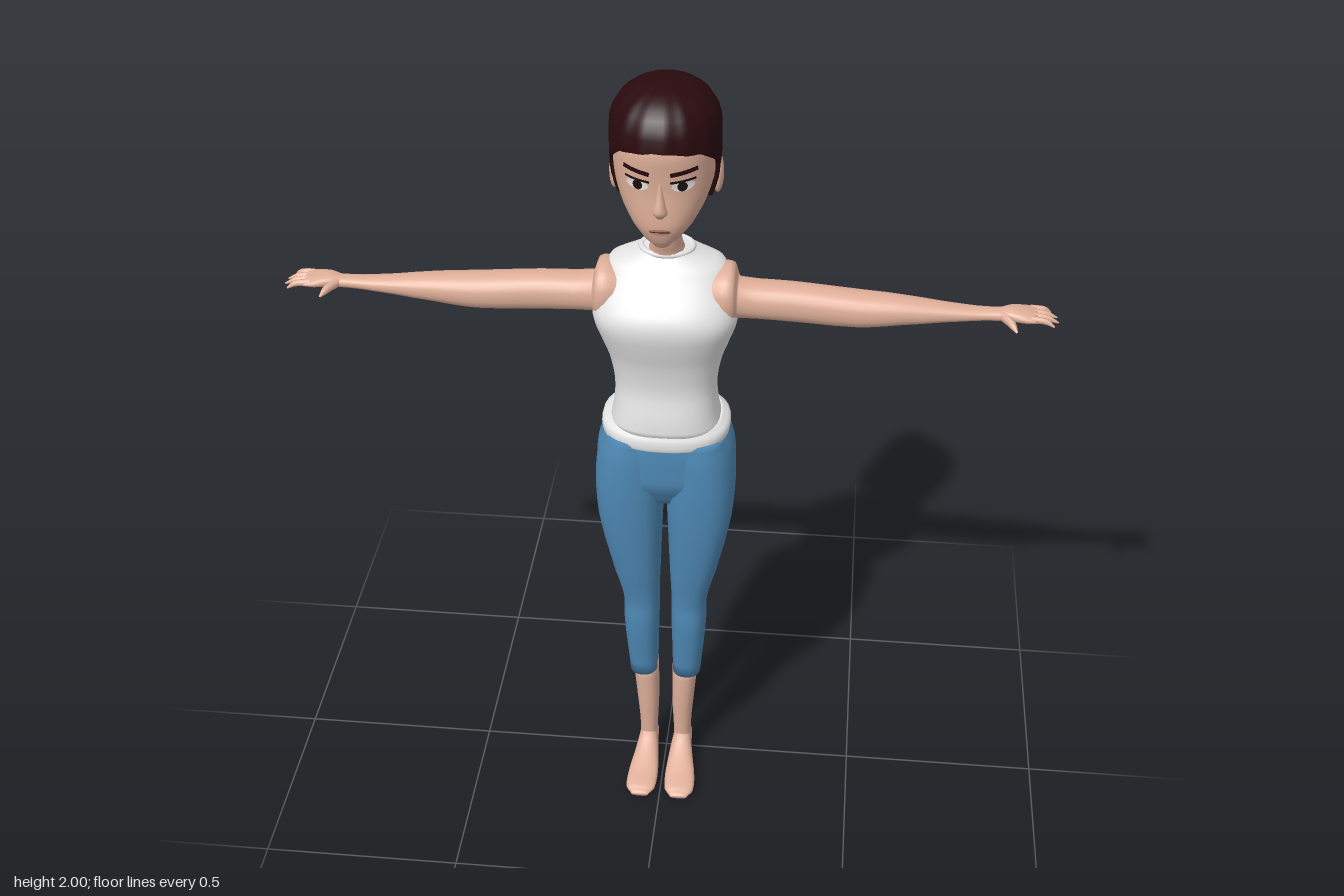
import * as THREE from 'three';

const mat = (name, color, side = THREE.FrontSide) => {
  const m = new THREE.MeshStandardMaterial({ color, side });
  m.name = name;
  return m;
};

// Sections [s, p0, p1, q0, q1]: superellipse rings at s, smoothed along the axis.
const AXES = { y: (s, p, q) => [p, s, q], x: (s, p, q) => [s, q, p], z: (s, p, q) => [q, p, s] };
function loft(sections, axis = 'y', power = 2.3, n = 24, sub = 3) {
  const place = AXES[axis], pos = [], idx = [], rows = [];
  const cat = (a, b, c, d, t) => 0.5 * (2 * b + (c - a) * t + (2 * a - 5 * b + 4 * c - d) * t * t + (3 * b - a - 3 * c + d) * t ** 3);
  const last = sections.length - 1;
  for (let i = 0; i < last; i++) {
    const [a, b, c, d] = [i - 1, i, i + 1, i + 2].map(k => sections[Math.min(last, Math.max(0, k))]);
    for (let j = 0; j < sub; j++) {
      const t = j / sub;
      rows.push(b.map((v, k) => k ? cat(a[k], v, c[k], d[k], t) : v + (c[0] - v) * t));
    }
  }
  rows.push(sections[last]);
  const bend = v => Math.sign(v) * Math.abs(v) ** (2 / power);
  rows.forEach(([s, p0, p1, q0, q1]) => {
    for (let i = 0; i < n; i++) {
      const t = i / n * Math.PI * 2;
      pos.push(...place(s, (p0 + p1) / 2 + (p1 - p0) / 2 * bend(Math.cos(t)), (q0 + q1) / 2 + (q1 - q0) / 2 * bend(Math.sin(t))));
    }
  });
  for (let r = 0; r < rows.length - 1; r++) for (let i = 0; i < n; i++) {
    const a = r * n + i, b = r * n + (i + 1) % n;
    idx.push(a, a + n, b, b, a + n, b + n);
  }
  // end caps
  [0, rows.length - 1].forEach((r, top) => {
    const [s, p0, p1, q0, q1] = rows[r], c = pos.length / 3;
    pos.push(...place(s, (p0 + p1) / 2, (q0 + q1) / 2));
    for (let i = 0; i < n; i++) {
      const a = r * n + i, b = r * n + (i + 1) % n;
      top ? idx.push(a, c, b) : idx.push(a, b, c);
    }
  });
  return build(pos, idx);
}

function build(pos, idx) {
  const g = new THREE.BufferGeometry();
  g.setAttribute('position', new THREE.Float32BufferAttribute(pos, 3));
  g.setIndex(idx);
  g.computeVertexNormals();
  return g;
}

// Round tube along points whose radius follows the given list.
function taperTube(points, radii, seg = 16, sides = 10) {
  const curve = new THREE.CatmullRomCurve3(points.map(p => new THREE.Vector3(...p)));
  const g = new THREE.TubeGeometry(curve, seg, 1, sides), P = g.attributes.position, v = new THREE.Vector3();
  for (let i = 0; i < P.count; i++) {
    const u = Math.floor(i / (sides + 1)) / seg, c = curve.getPointAt(u);
    const f = u * (radii.length - 1), k = Math.min(radii.length - 2, Math.floor(f));
    v.fromBufferAttribute(P, i).sub(c).multiplyScalar(THREE.MathUtils.lerp(radii[k], radii[k + 1], f - k)).add(c);
    P.setXYZ(i, v.x, v.y, v.z);
  }
  g.computeVertexNormals();
  return g;
}

function mirror(geo) {
  const g = geo.clone().scale(-1, 1, 1), a = g.index.array;
  for (let i = 0; i < a.length; i += 3) [a[i], a[i + 1]] = [a[i + 1], a[i]];
  g.computeVertexNormals();
  return g;
}

// Hair cap whose lower edge follows the hairline; keys are degrees from the front.
const HAIRLINE = [[0, 1.893], [45, 1.875], [75, 1.83], [82, 1.8], [88, 1.725], [94, 1.725], [98, 1.81], [106, 1.8], [114, 1.72], [180, 1.7]];
function hairCap() {
  const n = 90, rows = 16, pos = [], idx = [];
  const edge = d => {
    const k = Math.max(1, HAIRLINE.findIndex(h => h[0] >= d)), [a, b] = [HAIRLINE[k - 1], HAIRLINE[k]];
    return THREE.MathUtils.lerp(a[1], b[1], (d - a[0]) / (b[0] - a[0]));
  };
  for (let r = 0; r <= rows; r++) for (let i = 0; i < n; i++) {
    const t = i / n * Math.PI * 2, low = edge(Math.min(180, Math.min(i, n - i) / n * 360));
    let y, rad;
    if (r <= 8) {
      const phi = r / 8 * Math.PI / 2;
      y = 1.89 + 0.11 * Math.cos(phi) ** 0.85;
      rad = Math.sin(phi) ** 0.85;
    } else {
      y = THREE.MathUtils.lerp(1.89, low, Math.min(1, (r - 8) / (rows - 9)));
      rad = 1 - 0.22 * (Math.max(0, 1.82 - y) / 0.12) ** 2;
    }
    rad *= (1 + 0.012 * Math.sin(t * 15)) * (r === rows ? 0.84 : 1);
    pos.push(0.126 * rad * Math.sin(t), y, 0.022 + 0.148 * rad * Math.cos(t));
  }
  for (let r = 0; r < rows; r++) for (let i = 0; i < n; i++) {
    const a = r * n + i, b = r * n + (i + 1) % n;
    idx.push(a, a + n, b, b, a + n, b + n);
  }
  return build(pos, idx);
}

export function createModel() {
  const group = new THREE.Group();
  const skin = mat('skin', 0xe0b09a), shirt = mat('shirt white', 0xe6e6e6), denim = mat('trouser blue', 0x4d87b3);
  const hair = mat('hair brown', 0x2a0a0e, THREE.DoubleSide), white = mat('eye white', 0xf2eeea);
  const dark = mat('eye dark', 0x1c1210), lip = mat('lip', 0xc08874);
  const add = (name, geo, m) => {
    const mesh = new THREE.Mesh(geo, m);
    mesh.name = name;
    group.add(mesh);
    return mesh;
  };
  const pair = (name, geo, m) => {
    add('left' + name, geo, m);
    add('right' + name, mirror(geo), m);
  };
  const sym = list => list.map(([y, w, z0, z1]) => [y, -w, w, z0, z1]);

  // Head and neck
  const head = add('head', loft(sym([[1.636, 0.018, 0.075, 0.122], [1.655, 0.042, 0.04, 0.134], [1.69, 0.072, -0.02, 0.146],
    [1.73, 0.095, -0.06, 0.147], [1.78, 0.112, -0.09, 0.146], [1.83, 0.117, -0.105, 0.151], [1.88, 0.115, -0.11, 0.155],
    [1.93, 0.098, -0.09, 0.135], [1.97, 0.05, -0.04, 0.08]]), 'y', 2.3, 36), skin);
  add('neck', loft(sym([[1.5, 0.08, -0.085, 0.05], [1.56, 0.046, -0.058, 0.036], [1.6, 0.036, -0.042, 0.048],
    [1.66, 0.037, -0.04, 0.06], [1.72, 0.045, -0.05, 0.07]])), skin);
  add('nose', loft(sym([[1.722, 0.01, 0.12, 0.15], [1.735, 0.018, 0.12, 0.162], [1.75, 0.014, 0.12, 0.163],
    [1.78, 0.009, 0.12, 0.154], [1.82, 0.006, 0.12, 0.148]]), 'y', 2, 14), skin);
  pair('Ear', new THREE.SphereGeometry(1, 14, 10).scale(0.013, 0.046, 0.026).rotateX(-0.15).translate(0.118, 1.77, 0), skin);

  // Face details: thin patches laid onto the head surface
  const ray = new THREE.Raycaster();
  const onFace = (geo, x, y, lift, tilt = 0) => {
    geo.rotateZ(tilt).translate(x, y, 0);
    const P = geo.attributes.position;
    for (let i = 0; i < P.count; i++) {
      ray.set(new THREE.Vector3(P.getX(i), P.getY(i), 1), new THREE.Vector3(0, 0, -1));
      const hit = ray.intersectObject(head)[0];
      P.setZ(i, (hit ? hit.point.z : 0.12) + lift);
    }
    geo.computeVertexNormals();
    return geo;
  };
  const oval = (w, h) => new THREE.CircleGeometry(1, 20).scale(w, h, 1);
  const strip = (w, h) => new THREE.PlaneGeometry(w, h, 10, 2);
  pair('Eye', onFace(oval(0.025, 0.013), 0.051, 1.803, 0.002, 0.1), white);
  pair('Iris', onFace(oval(0.011, 0.012), 0.05, 1.803, 0.004), dark);
  pair('EyeLid', onFace(strip(0.056, 0.006), 0.051, 1.817, 0.005, 0.12), dark);
  pair('Brow', onFace(strip(0.06, 0.011), 0.053, 1.838, 0.004, 0.18), hair);
  add('lips', onFace(oval(0.026, 0.008), 0, 1.688, 0.003), lip);
  add('mouthLine', onFace(strip(0.044, 0.002), 0, 1.689, 0.0045), dark);

  // Hair
  add('hairCap', hairCap(), hair);
  add('ponytail', taperTube([[0, 1.885, -0.09], [0, 1.895, -0.15], [0, 1.82, -0.188], [0, 1.72, -0.184], [0, 1.6, -0.137]],
    [0.036, 0.028, 0.03, 0.03, 0.028, 0.003], 24, 14).scale(1.4, 1, 1), hair);
  add('hairTie', new THREE.TorusGeometry(0.03, 0.012, 8, 18).scale(1.2, 1, 1).translate(0, 1.89, -0.132), hair);

  // Sleeveless top with a rolled hem and collar
  add('top', loft(sym([[1.1, 0.138, -0.11, 0.11], [1.15, 0.128, -0.103, 0.107], [1.22, 0.124, -0.088, 0.096],
    [1.3, 0.138, -0.095, 0.108], [1.36, 0.158, -0.1, 0.127], [1.41, 0.173, -0.104, 0.137], [1.45, 0.166, -0.106, 0.125],
    [1.5, 0.15, -0.102, 0.083], [1.535, 0.134, -0.09, 0.056], [1.558, 0.078, -0.08, 0.038], [1.57, 0.058, -0.07, 0.032]]), 'y', 2.5, 36), shirt);
  add('collar', new THREE.TorusGeometry(0.055, 0.007, 8, 28).rotateX(Math.PI / 2).scale(1.1, 1, 0.95).translate(0, 1.566, -0.02), shirt);
  const hem = loft(sym([[1.07, 0.146, -0.112, 0.106], [1.08, 0.157, -0.121, 0.115], [1.105, 0.157, -0.121, 0.115],
    [1.122, 0.136, -0.108, 0.108]]), 'y', 2.4, 36);
  const H = hem.attributes.position;
  for (let i = 0; i < H.count; i++) H.setY(i, H.getY(i) - 0.1 * H.getZ(i));
  hem.computeVertexNormals();
  add('hem', hem, shirt);

  // Arms, hands and fingers: sections run along x as [x, z0, z1, y0, y1]
  pair('Arm', loft([[0.1, -0.06, 0.07, 1.4, 1.52], [0.135, -0.07, 0.08, 1.39, 1.533], [0.16, -0.066, 0.076, 1.395, 1.53],
    [0.172, -0.045, 0.057, 1.405, 1.498], [0.3, -0.04, 0.055, 1.402, 1.493], [0.45, -0.035, 0.058, 1.398, 1.483],
    [0.55, -0.026, 0.054, 1.41, 1.477], [0.7, -0.012, 0.039, 1.427, 1.461], [0.78, -0.008, 0.034, 1.432, 1.459],
    [0.805, -0.016, 0.04, 1.433, 1.464], [0.84, -0.025, 0.048, 1.434, 1.46], [0.866, -0.026, 0.046, 1.437, 1.453]], 'x'), skin);
  [[-0.019, 0.9], [0.0, 0.913], [0.02, 0.915], [0.039, 0.905]].forEach(([z, tip], i) =>
    pair('Finger' + (i + 1), taperTube([[0.85, 1.447, z * 0.9], [0.885, 1.445, z], [tip, 1.435, z * 1.15]], [0.009, 0.008, 0.007, 0.002], 8, 8), skin));
  pair('Thumb', taperTube([[0.785, 1.447, 0.022], [0.805, 1.443, 0.052], [0.818, 1.435, 0.08]], [0.012, 0.011, 0.009, 0.002], 8, 8), skin);

  // Cropped trousers
  add('hips', loft(sym([[0.89, 0.09, -0.02, 0.08], [0.95, 0.158, -0.07, 0.11], [1.0, 0.172, -0.11, 0.113],
    [1.05, 0.166, -0.127, 0.112], [1.1, 0.145, -0.112, 0.106]]), 'y', 2.4, 36), denim);
  pair('TrouserLeg', loft([[0.31, 0.02, 0.094, -0.027, 0.07], [0.42, 0.018, 0.103, -0.033, 0.08], [0.5, 0.016, 0.108, -0.035, 0.085],
    [0.56, 0.016, 0.109, -0.035, 0.082], [0.66, 0.012, 0.133, -0.042, 0.096], [0.8, 0.007, 0.163, -0.051, 0.11],
    [0.9, 0.003, 0.174, -0.068, 0.115], [0.97, 0, 0.175, -0.105, 0.115], [1.03, 0, 0.168, -0.135, 0.112],
    [1.08, 0, 0.15, -0.125, 0.105]], 'y', 2.4), denim);

  // Shins and bare feet: feet run along z as [z, y0, y1, x0, x1]
  pair('Shin', loft([[0.03, 0.024, 0.07, -0.022, 0.045], [0.1, 0.022, 0.069, -0.013, 0.047], [0.2, 0.018, 0.076, -0.02, 0.056],
    [0.33, 0.019, 0.086, -0.022, 0.062]]), skin);
  pair('Foot', loft([[-0.032, 0.012, 0.04, 0.034, 0.06], [-0.018, 0, 0.07, 0.023, 0.07], [0.03, 0, 0.088, 0.02, 0.072],
    [0.08, 0, 0.062, 0.014, 0.08], [0.14, 0, 0.038, 0.01, 0.09], [0.19, 0, 0.026, 0.014, 0.09], [0.214, 0.004, 0.016, 0.03, 0.074]], 'z'), skin);
  return group;
}
